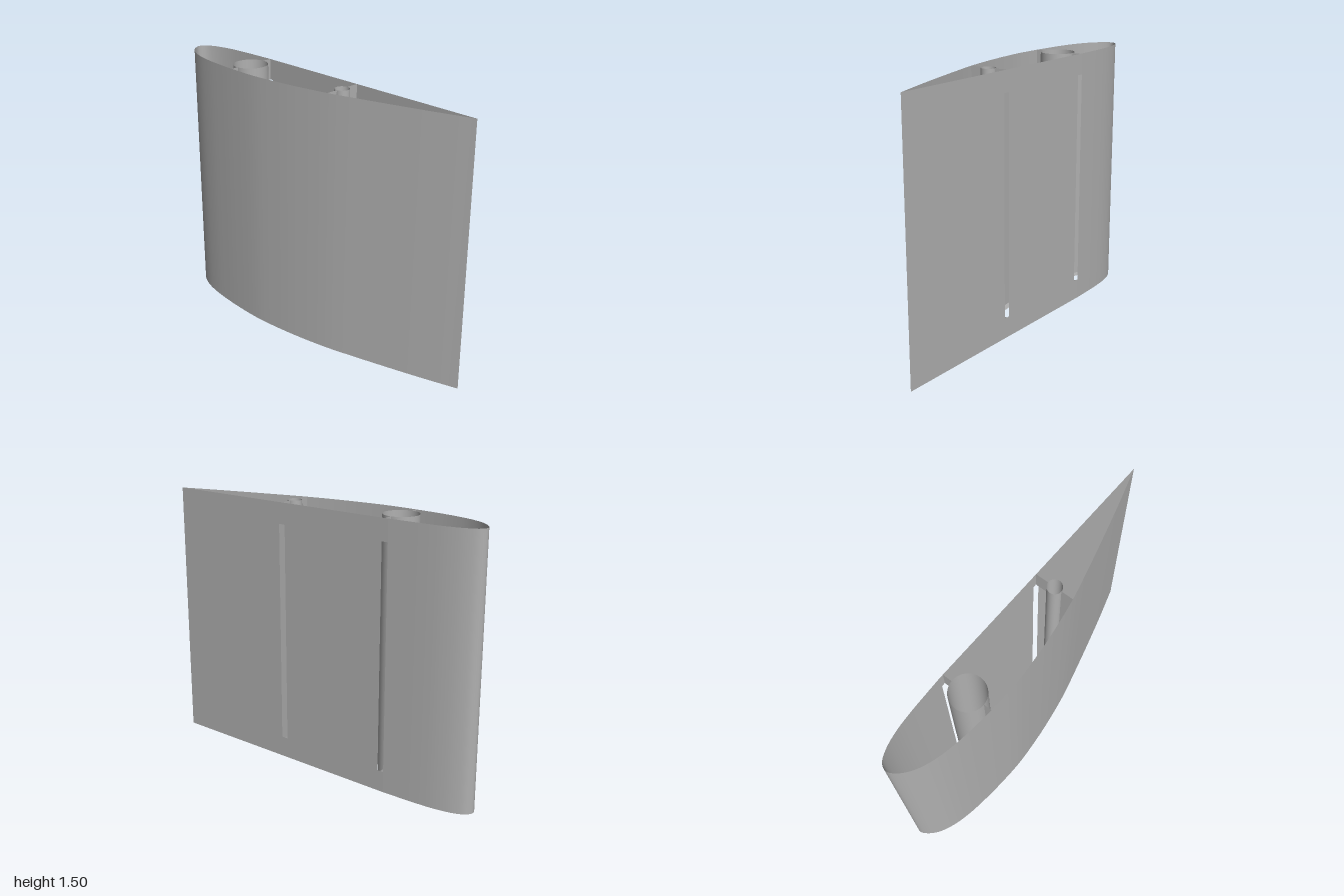
import * as THREE from 'three';

const HEIGHT = 1.5, SLOT_LOW = 0.12, SLOT_HIGH = 1.38, SLOT_HALF = 0.02;

const gray = new THREE.MeshStandardMaterial({ color: 0xb0b0b0, side: THREE.DoubleSide });
gray.name = 'plain gray';

// Spars: tube centre x, tube radius, and where the web meets the back and front skin
const spars = [
  { x: -0.475, r: 0.0975, back: -0.152, front: 0.142 },
  { x: 0.215, r: 0.041, back: -0.115, front: 0.111 },
];

// Upright sheet that follows a list of [x, z] points
function sheet(points, y0, y1) {
  const pos = [], index = [];
  points.forEach(([x, z], i) => {
    pos.push(x, y0, z, x, y1, z);
    if (i > 0) {
      const a = 2 * i - 2;
      index.push(a, a + 2, a + 1, a + 1, a + 2, a + 3);
    }
  });
  const g = new THREE.BufferGeometry();
  g.setAttribute('position', new THREE.Float32BufferAttribute(pos, 3));
  g.setIndex(index);
  g.computeVertexNormals();
  return g;
}

export function createModel() {
  const model = new THREE.Group();
  const add = (name, geometry) => {
    const m = new THREE.Mesh(geometry, gray);
    m.name = name;
    model.add(m);
    return m;
  };

  // Cambered front, rounded nose and the first part of the back
  const nose = new THREE.CatmullRomCurve3([
    [1, -0.073], [0.8, -0.02], [0.6, 0.028], [0.4, 0.073], [0.215, 0.111], [0, 0.139],
    [-0.15, 0.15], [-0.3, 0.154], [-0.475, 0.142], [-0.6, 0.127], [-0.72, 0.107],
    [-0.83, 0.077], [-0.92, 0.034], [-0.975, -0.015], [-1, -0.065], [-0.98, -0.103],
    [-0.92, -0.131], [-0.82, -0.149], [-0.7, -0.154], [-0.6, -0.1535], [-0.495, -0.152],
  ].map(([x, z]) => new THREE.Vector3(x, 0, z)), false, 'centripetal');
  const wrap = nose.getPoints(100).map((p) => [p.x, p.z]);
  add('frontSkin', sheet(wrap, 0, HEIGHT));

  // Nearly straight back, split around the two slots
  const backZ = (x) => {
    const t = (x + 0.495) / 1.495;
    return -0.152 + 0.079 * t;
  };
  const backRun = (x0, x1) => [[x0, backZ(x0)], [x1, backZ(x1)]].reverse();
  const [main, rear] = spars;
  add('middleBackSkin', sheet(backRun(main.x + SLOT_HALF, rear.x - SLOT_HALF), 0, HEIGHT));
  add('rearBackSkin', sheet(backRun(rear.x + SLOT_HALF, 1), 0, HEIGHT));

  for (const s of spars) {
    // Tube, open at both ends
    add('sparTube', new THREE.CylinderGeometry(s.r, s.r, HEIGHT, 48, 1, true))
      .position.set(s.x, HEIGHT / 2, 0);
    // Web to the front skin, full height
    add('frontWeb', sheet([[s.x, s.r], [s.x, s.front]], 0, HEIGHT));
    // Skin and web below and above the slot
    for (const [y0, y1] of [[0, SLOT_LOW], [SLOT_HIGH, HEIGHT]]) {
      add('slotEndSkin', sheet(backRun(s.x - SLOT_HALF, s.x + SLOT_HALF), y0, y1));
      add('backWeb', sheet([[s.x, backZ(s.x)], [s.x, -s.r]], y0, y1));
    }
  }

  // Bottom rib with lightening holes and tube holes
  const rib = new THREE.Shape(wrap.map(([x, z]) => new THREE.Vector2(x, z)));
  const cutouts = [
    [[-0.84, -0.107], [-0.76, -0.114], [-0.565, -0.117], [-0.565, -0.045], [-0.574, 0],
      [-0.565, 0.045], [-0.565, 0.097], [-0.72, 0.068], [-0.84, 0.027]],
    [[-0.376, -0.106], [0.125, -0.082], [0.125, 0.084], [0, 0.1], [-0.2, 0.113], [-0.376, 0.115]],
    [[0.31, -0.071], [0.6, -0.055], [0.6, -0.003], [0.31, 0.054]],
  ];
  for (const c of cutouts) rib.holes.push(new THREE.Path(c.map(([x, z]) => new THREE.Vector2(x, z))));
  for (const s of spars) rib.holes.push(new THREE.Path().absarc(s.x, 0, s.r, 0, Math.PI * 2, true));
  add('bottomRib', new THREE.ShapeGeometry(rib, 24).rotateX(Math.PI / 2));

  return model;
}
